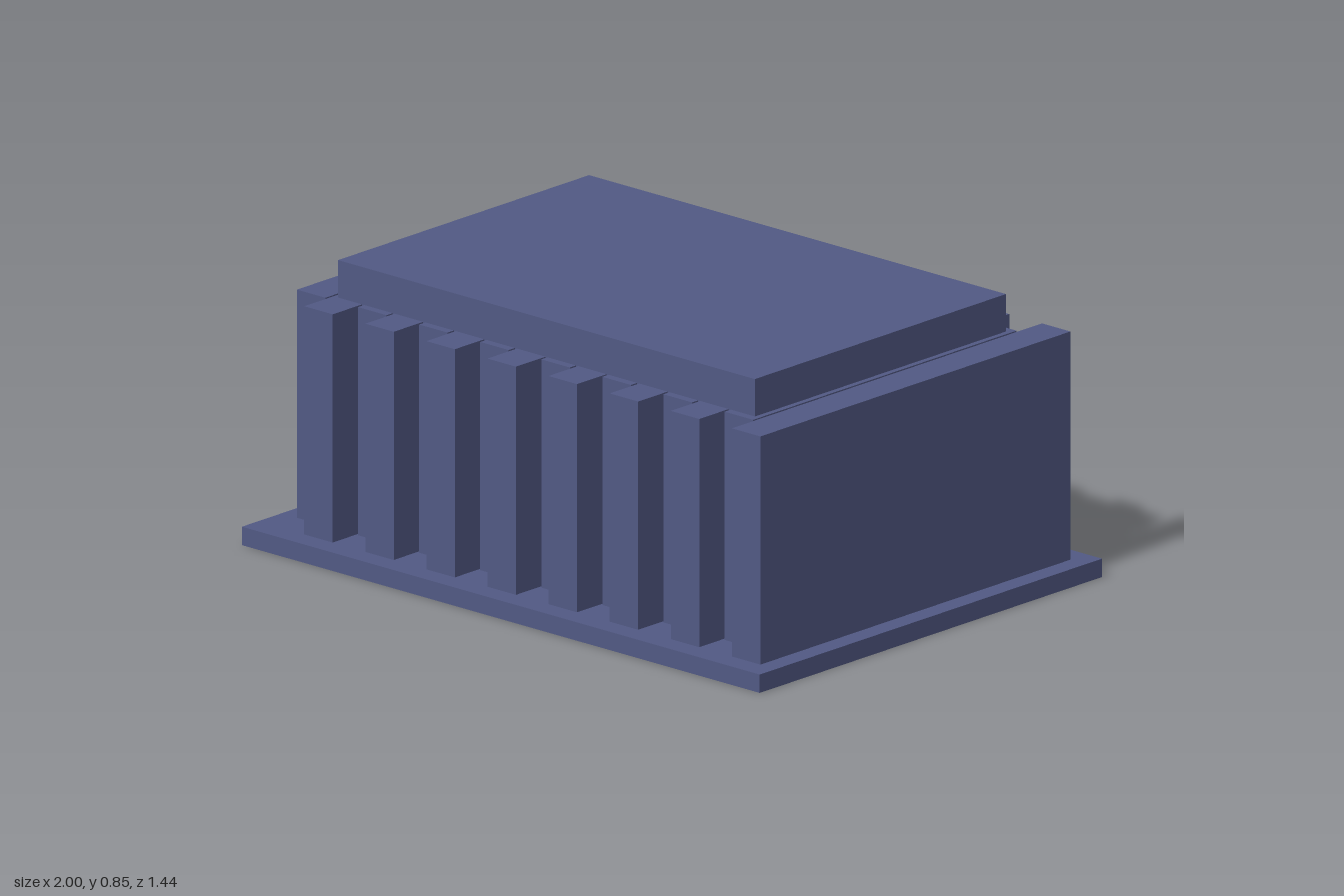
import * as THREE from 'three';

export function createModel() {
  const model = new THREE.Group();
  const slateBlue = new THREE.MeshStandardMaterial({ color: 0x515984 });
  slateBlue.name = 'slateBlue';

  // Box centred on z = 0, standing from y0 to y1
  function addBox(name, width, depth, y0, y1, x = 0) {
    const mesh = new THREE.Mesh(new THREE.BoxGeometry(width, y1 - y0, depth), slateBlue);
    mesh.name = name;
    mesh.position.set(x, (y0 + y1) / 2, 0);
    model.add(mesh);
  }

  addBox('basePlate', 2, 1.44, 0, 0.055);

  // Row of upright slabs, alternately short and long
  const count = 16, pitch = 0.118;
  for (let i = 0; i < count; i++) {
    const long = i % 2 === 1;
    addBox(long ? 'longSlab' : 'shortSlab', 0.11, long ? 1.304 : 1.108,
      0.055, 0.738, (i - (count - 1) / 2) * pitch);
  }

  // Roof slab, sunk slightly into the slab tops
  addBox('roofSlab', 1.61, 1.056, 0.712, 0.85);

  return model;
}
